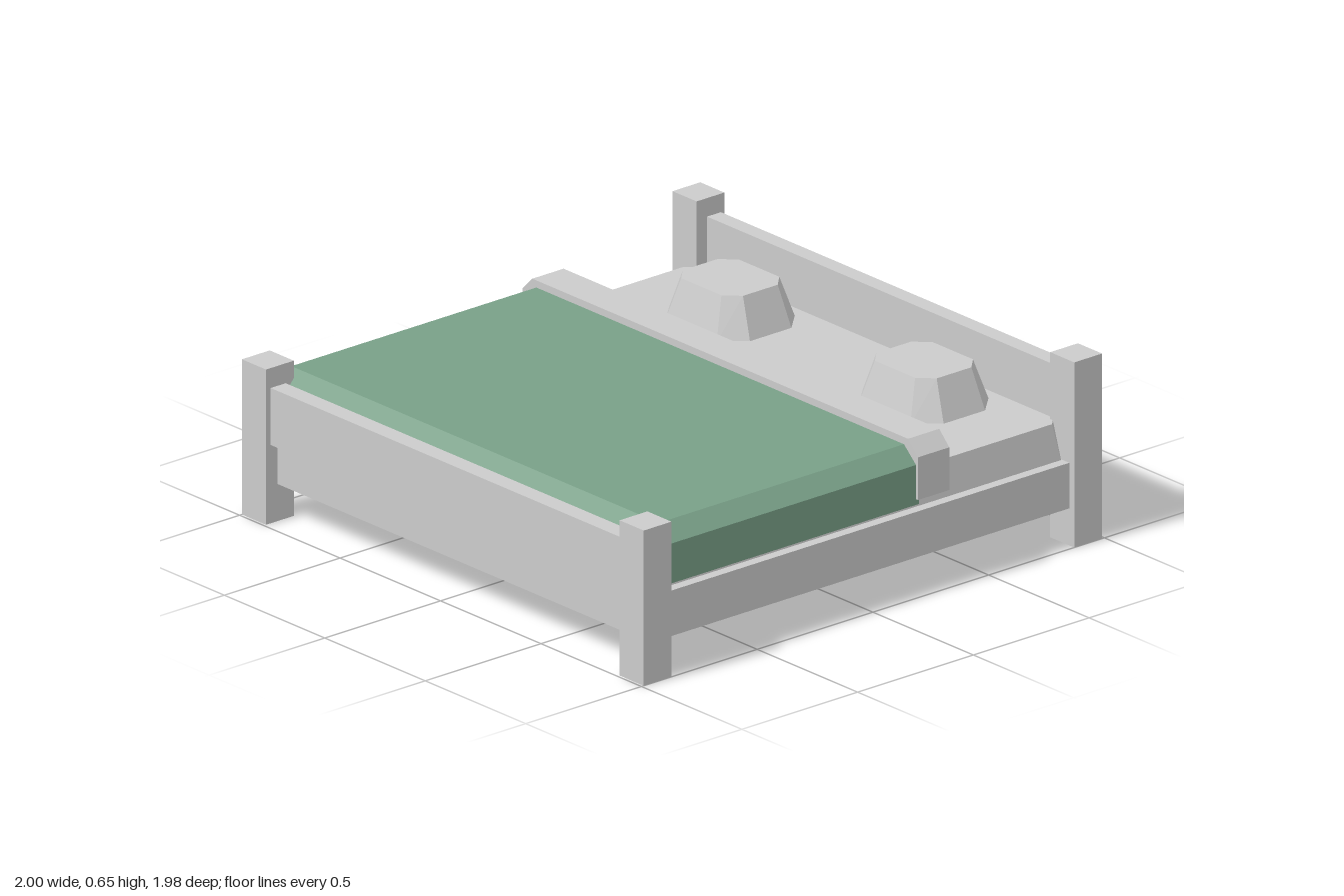
import * as THREE from 'three';
import { ConvexGeometry } from 'three/addons/geometries/ConvexGeometry.js';

const grey = new THREE.MeshStandardMaterial({ color: 0xcccccc, flatShading: true });
const green = new THREE.MeshStandardMaterial({ color: 0x79a088, flatShading: true });

export function createModel() {
  const bed = new THREE.Group();
  bed.name = 'bed';

  function add(name, geometry, material = grey) {
    const mesh = new THREE.Mesh(geometry, material);
    mesh.name = name;
    bed.add(mesh);
    return mesh;
  }

  // box given by its limits on each axis
  function box(name, [x0, x1], [y0, y1], [z0, z1]) {
    const mesh = add(name, new THREE.BoxGeometry(x1 - x0, y1 - y0, z1 - z0));
    mesh.position.set((x0 + x1) / 2, (y0 + y1) / 2, (z0 + z1) / 2);
  }

  // rectangle with cut corners at height y
  function octagon(y, hx, hz, cx, cz) {
    const points = [];
    for (const sx of [-1, 1]) for (const sz of [-1, 1]) {
      points.push(new THREE.Vector3(sx * hx, y, sz * (hz - cz)));
      points.push(new THREE.Vector3(sx * (hx - cx), y, sz * hz));
    }
    return points;
  }

  // corner posts, taller at the head
  for (const s of [-1, 1]) {
    const x = s < 0 ? [-1, -0.88] : [0.88, 1];
    box('footPost', x, [0, 0.545], [0.87, 0.99]);
    box('headPost', x, [0, 0.65], [-0.99, -0.87]);
  }

  // frame and end boards
  box('bedFrame', [-0.975, 0.975], [0.13, 0.29], [-0.94, 0.94]);
  box('footboard', [-0.9, 0.9], [0.275, 0.475], [0.905, 0.97]);
  box('headboard', [-0.9, 0.9], [0.275, 0.585], [-0.975, -0.915]);

  // mattress narrowing towards the top
  add('mattress', new ConvexGeometry([
    ...octagon(0.285, 0.94, 0.905, 0.04, 0.04),
    ...octagon(0.415, 0.918, 0.885, 0.04, 0.04),
  ]));

  // pillows
  for (const s of [-1, 1]) {
    const pillow = add('pillow', new ConvexGeometry([
      ...octagon(0.41, 0.203, 0.17, 0.075, 0.08),
      ...octagon(0.555, 0.15, 0.125, 0.05, 0.05),
    ]));
    pillow.position.set(s * 0.482, 0, -0.67);
  }

  // blanket with bevelled sides and a sloping foot end
  const blanketPoints = [];
  for (const [z, drop] of [[-0.22, 0], [0.85, 0], [0.905, 0.07]]) {
    for (const s of [-1, 1]) {
      blanketPoints.push(
        new THREE.Vector3(s * 0.975, 0.315, z),
        new THREE.Vector3(s * 0.975, 0.455 - drop, z),
        new THREE.Vector3(s * 0.915, 0.51 - drop, z),
      );
    }
  }
  add('blanket', new ConvexGeometry(blanketPoints), green);

  // turned-back sheet, an arch over the mattress
  const arch = new THREE.Shape([
    [0.985, 0.335], [0.985, 0.485], [0.935, 0.535], [-0.935, 0.535], [-0.985, 0.485], [-0.985, 0.335],
    [-0.925, 0.335], [-0.9, 0.41], [0.9, 0.41], [0.925, 0.335],
  ].map(([x, y]) => new THREE.Vector2(x, y)));
  add('foldedSheet', new THREE.ExtrudeGeometry(arch, { depth: 0.135, bevelEnabled: false }))
    .position.z = -0.343;

  return bed;
}
